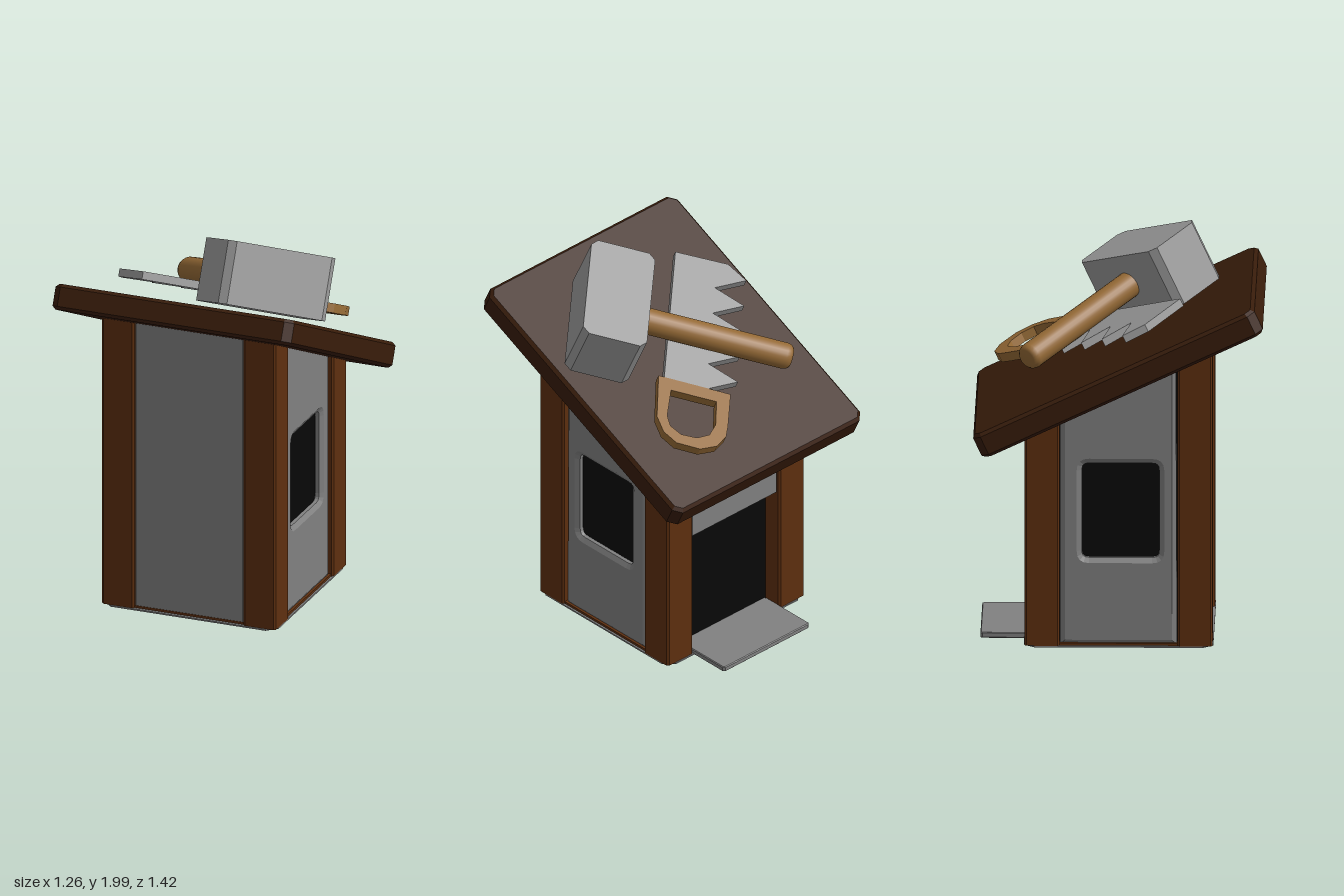
import * as THREE from 'three';

const GREY = 0x818181, STEEL = 0x9b9b9b, POST = 0x5e2f0f, ROOF = 0x381c0a, HANDLE = 0x956a36, BLACK = 0x080808;
const TILT = 0.44; // roof slope
const underRoof = z => 1.325 + 0.471 * z; // just inside the roof's underside

const materials = {};
function add(parent, name, geometry, color) {
  materials[color] ??= new THREE.MeshStandardMaterial({ color });
  const mesh = new THREE.Mesh(geometry, materials[color]);
  mesh.name = name;
  parent.add(mesh);
  return mesh;
}

const polygon = pts => new THREE.Shape(pts.map(([x, y]) => new THREE.Vector2(x, y)));

// Upright slab on y = 0 with cut corners and an optional bevel
function slab(w, h, l, cut, bevel = 0) {
  const x = w / 2 - bevel, y = l / 2 - bevel, c = cut;
  const shape = polygon([
    [x, y - c], [x - c, y], [c - x, y], [-x, y - c],
    [-x, c - y], [c - x, -y], [x - c, -y], [x, c - y],
  ]);
  return new THREE.ExtrudeGeometry(shape, {
    depth: h - 2 * bevel, bevelEnabled: bevel > 0,
    bevelSize: bevel, bevelThickness: bevel, bevelSegments: 1,
  }).rotateX(-Math.PI / 2).translate(0, bevel, 0);
}

// Slab whose top is cut to follow the roof
function slopedSlab(x, z, w, l, y0, cut) {
  const g = slab(w, 1, l, cut).translate(x, 0, z);
  const p = g.attributes.position;
  for (let i = 0; i < p.count; i++) p.setY(i, p.getY(i) > 0.5 ? underRoof(p.getZ(i)) : y0);
  g.computeVertexNormals();
  return g;
}

// Side wall with a rounded, bevelled window; side is 1 for +x, -1 for -x
function sideWall(side) {
  const e = 0.262;
  const shape = polygon([[-e, 0.035], [e, 0.035], [e, underRoof(-side * e)], [-e, underRoof(side * e)]]);
  const at = (z, y) => [-side * z, y];
  const a = -0.205, b = 0.225, c = 0.425, d = 0.955, r = 0.06;
  const hole = new THREE.Path();
  hole.moveTo(...at(a + r, c));
  hole.lineTo(...at(b - r, c)).quadraticCurveTo(...at(b, c), ...at(b, c + r));
  hole.lineTo(...at(b, d - r)).quadraticCurveTo(...at(b, d), ...at(b - r, d));
  hole.lineTo(...at(a + r, d)).quadraticCurveTo(...at(a, d), ...at(a, d - r));
  hole.lineTo(...at(a, c + r)).quadraticCurveTo(...at(a, c), ...at(a + r, c));
  shape.holes.push(hole);
  return new THREE.ExtrudeGeometry(shape, {
    depth: 0.02, bevelSize: 0.025, bevelThickness: 0.015, bevelSegments: 1, curveSegments: 4,
  }).rotateY(side * Math.PI / 2);
}

function buildHut(parent) {
  const hut = new THREE.Group();
  hut.name = 'hut';
  parent.add(hut);

  add(hut, 'floor', slab(0.92, 0.008, 0.93, 0.05), GREY);
  add(hut, 'baseTrim', slab(0.9, 0.014, 0.9, 0.02).translate(0, 0.006, 0), POST);
  add(hut, 'interior', slopedSlab(0, 0.022, 0.81, 0.77, 0.02, 0.01), BLACK);

  // Corner posts
  for (const x of [-0.375, 0.375]) for (const z of [-0.375, 0.375])
    add(hut, 'cornerPost', slopedSlab(x, z, 0.172, 0.172, 0.008, 0.01), POST);

  // Walls
  add(hut, 'frontWall', slopedSlab(0, 0.42, 0.578, 0.055, 0.015, 0.007), GREY);
  add(hut, 'backLintel', slopedSlab(0, -0.405, 0.578, 0.085, 0.69, 0.007), GREY);
  for (const side of [-1, 1])
    add(hut, 'windowWall', sideWall(side), GREY).position.x = side * 0.41;

  // Doorstep running in through the back opening
  add(hut, 'doorstep', slab(0.577, 0.028, 0.32, 0.008, 0.004).translate(0, 0, -0.52), GREY);
}

function buildHammer(roof) {
  const hammer = new THREE.Group();
  hammer.name = 'hammer';
  hammer.position.set(0.281, 0.094, 0.279);
  hammer.rotation.y = Math.PI / 4;
  roof.add(hammer);
  add(hammer, 'hammerHead', slab(0.585, 0.314, 0.328, 0.033), STEEL);
  const profile = [[0.066, 0], [0.066, 0.9], [0.06, 0.92], [0.048, 0.932], [0, 0.932]];
  const shaft = new THREE.LatheGeometry(profile.map(([x, y]) => new THREE.Vector2(x, y)), 24);
  add(hammer, 'hammerHandle', shaft.rotateX(-Math.PI / 2), HANDLE).position.y = 0.158;
}

function buildSaw(roof) {
  const saw = new THREE.Group();
  saw.name = 'saw';
  saw.position.y = 0.198;
  roof.add(saw);
  // Ground-plan point to roof-plane point
  const plan = ([x, z]) => [x, (z + 0.083) / 0.905];
  const flat = (shape, depth) =>
    new THREE.ExtrudeGeometry(shape, { depth, bevelEnabled: false }).rotateX(Math.PI / 2);

  // Blade with five teeth along one edge, its end set into the grip
  const blade = [[0.12, -0.35], [0.26, -0.22], [-0.305, 0.3], [-0.5, 0.13]];
  for (let i = 0; i < 5; i++) {
    const x = -0.52 + 0.111 * i, z = 0.02 - 0.103 * i;
    blade.push([x, z], [x + 0.175, z + 0.04]);
  }
  add(saw, 'sawBlade', flat(polygon(blade.map(plan)), 0.04), STEEL).position.y = -0.004;

  // D-shaped grip
  const outer = [[0.01, -0.43], [0.15, -0.56], [0.2, -0.6], [0.28, -0.62], [0.37, -0.595],
    [0.455, -0.515], [0.47, -0.44], [0.44, -0.36], [0.27, -0.19]];
  const inner = [[0.105, -0.43], [0.2, -0.525], [0.27, -0.555], [0.34, -0.54],
    [0.4, -0.49], [0.415, -0.43], [0.39, -0.38], [0.27, -0.28]];
  const grip = polygon(outer.map(plan));
  grip.holes.push(polygon(inner.map(plan)));
  add(saw, 'sawGrip', flat(grip, 0.047), HANDLE);
}

export function createModel() {
  const model = new THREE.Group();
  model.name = 'toolHut';
  buildHut(model);

  // Sloping roof carries the tools
  const roof = new THREE.Group();
  roof.name = 'roof';
  roof.position.y = 1.377;
  roof.rotation.x = -TILT;
  model.add(roof);
  add(roof, 'roofSlab', slab(1.265, 0.128, 1.525, 0.03, 0.016).translate(0, -0.064, 0), ROOF);
  buildHammer(roof);
  buildSaw(roof);
  return model;
}
